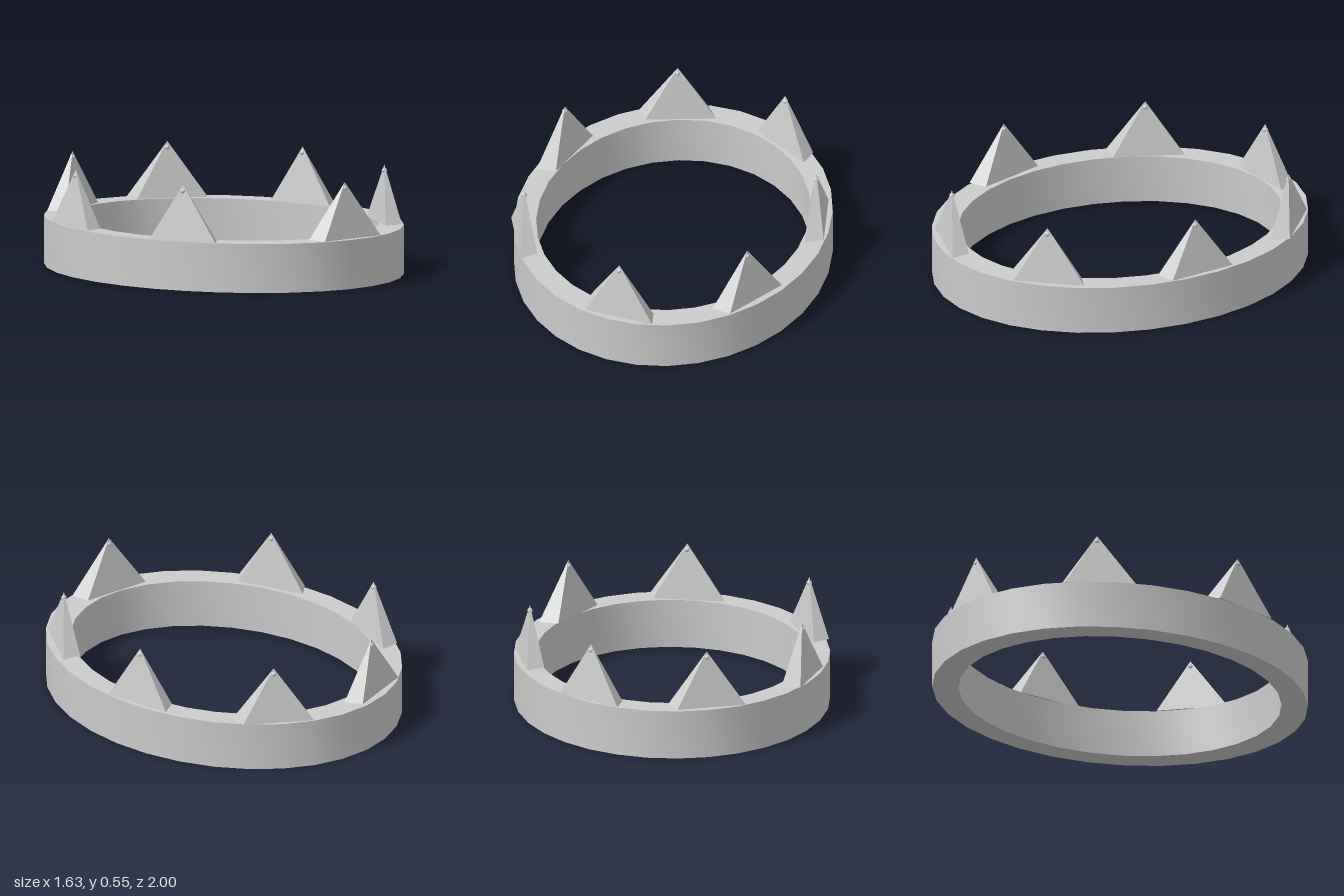
import * as THREE from 'three';
import { toCreasedNormals } from 'three/addons/utils/BufferGeometryUtils.js';

const BAND_TOP = 0.255, TIP = 0.545;

// Each spike: centre x, z; half edge along the band; half edge across the band
const SPIKES = [
  { at: [-0.152, -0.893], along: [-0.178, 0.040], across: [-0.024, -0.042] },
  { at: [0.440, -0.754], along: [-0.145, -0.115], across: [0.015, -0.049] },
  { at: [0.735, -0.090], along: [-0.023, -0.180], across: [0.046, -0.021] },
  { at: [0.515, 0.647], along: [0.106, -0.152], across: [0.049, 0.014] },
  { at: [-0.106, 0.904], along: [0.182, 0.034], across: [0.006, 0.049] },
  { at: [-0.718, 0.330], along: [0.058, 0.174], across: [-0.039, 0.029] },
  { at: [-0.657, -0.444], along: [-0.063, 0.174], across: [-0.050, -0.001] },
];

// Four-sided pyramid on a skewed base, flat faces
function spikeGeometry({ at, along, across }) {
  const h = TIP - BAND_TOP;
  const geo = new THREE.ConeGeometry(Math.SQRT2, 1, 4).rotateY(Math.PI / 4).toNonIndexed();
  const skew = new THREE.Matrix4().makeBasis(
    new THREE.Vector3(along[0], 0, along[1]),
    new THREE.Vector3(0, h, 0),
    new THREE.Vector3(across[0], 0, across[1]),
  );
  skew.setPosition(at[0], BAND_TOP + h / 2, at[1]);
  geo.applyMatrix4(skew);
  geo.computeVertexNormals();
  return geo;
}

export function createModel() {
  const model = new THREE.Group();
  model.name = 'crown';
  const grey = new THREE.MeshStandardMaterial({ color: 0xcccccc });

  // Oval band: a rectangular section turned round, then narrowed in x
  const section = [[0.86, 0], [1, 0], [1, BAND_TOP], [0.86, BAND_TOP], [0.86, 0]]
    .map(([r, y]) => new THREE.Vector2(r, y));
  const bandGeo = new THREE.LatheGeometry(section, 32).scale(0.815, 1, 1);
  const band = new THREE.Mesh(toCreasedNormals(bandGeo, 0.7), grey);
  band.name = 'band';
  model.add(band);

  // Spikes, each with a small bead just below its tip
  const beadGeo = new THREE.SphereGeometry(0.014, 16, 12);
  SPIKES.forEach((s, i) => {
    const spike = new THREE.Mesh(spikeGeometry(s), grey);
    spike.name = `spike${i + 1}`;
    const bead = new THREE.Mesh(beadGeo, grey);
    bead.name = `bead${i + 1}`;
    bead.position.set(s.at[0], 0.513, s.at[1]);
    model.add(spike, bead);
  });
  return model;
}
